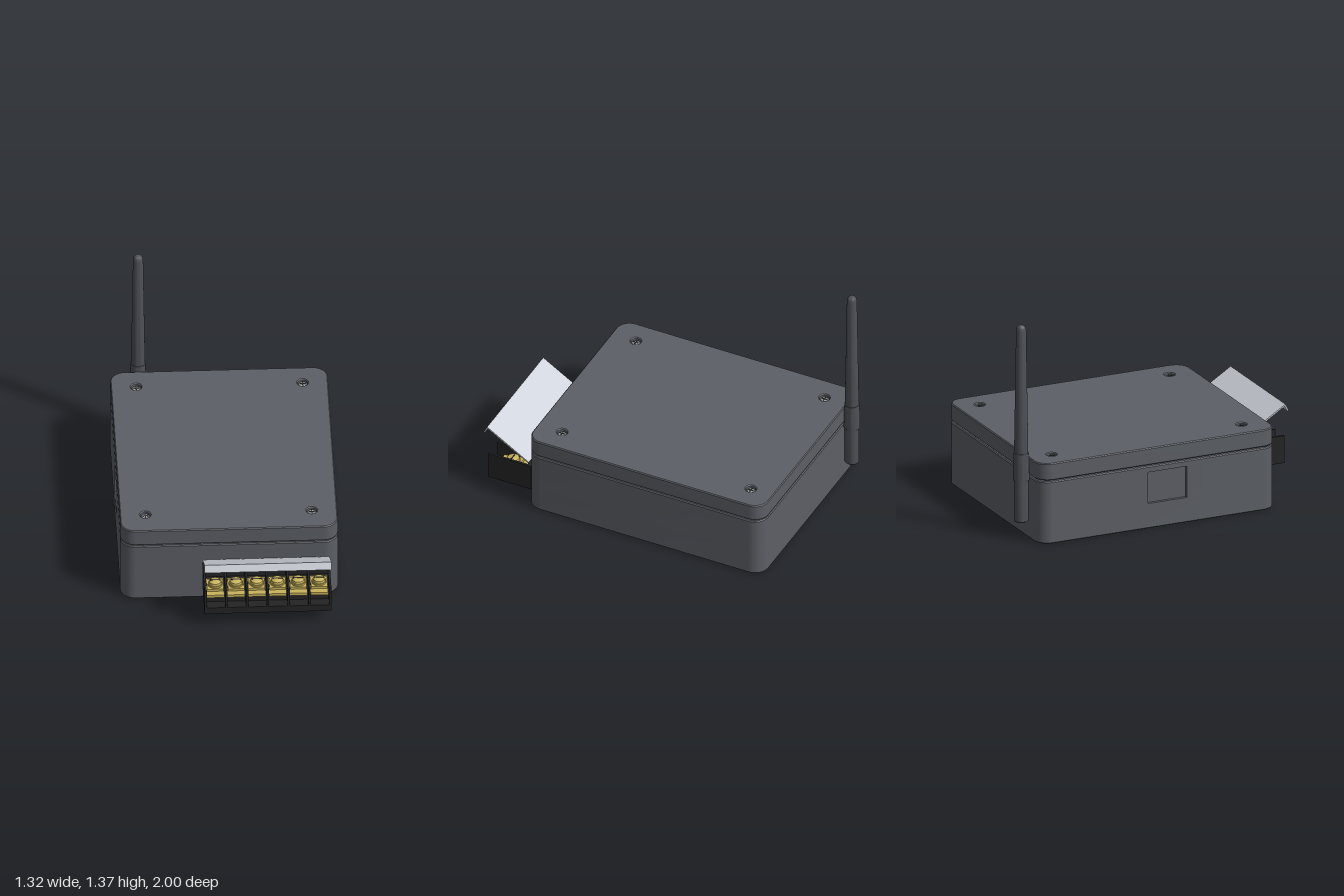
import * as THREE from 'three';
import { toCreasedNormals } from 'three/addons/utils/BufferGeometryUtils.js';

const material = (name, color) => new THREE.MeshStandardMaterial({ name, color });
const mats = {
  casing: material('casing grey', 0x5c5f66),
  antenna: material('antenna grey', 0x4e5056),
  black: material('terminal black', 0x242424),
  brass: material('brass', 0xc9b45c),
  sheet: material('cover metal', 0xced2da),
  steel: material('screw steel', 0xa4a7a9),
  slot: material('slot dark', 0x3a3a38),
};

const HALF_W = 0.66, HALF_D = 0.795, CENTRE = 0.11, RADIUS = 0.09;

function add(parent, name, geometry, mat, x = 0, y = 0, z = 0) {
  const mesh = new THREE.Mesh(geometry, mat);
  mesh.name = name;
  mesh.position.set(x, y, z);
  parent.add(mesh);
  return mesh;
}

// Box given by its limits on each axis
function block(parent, name, mat, x0, x1, y0, y1, z0, z1) {
  return add(parent, name, new THREE.BoxGeometry(x1 - x0, y1 - y0, z1 - z0), mat,
    (x0 + x1) / 2, (y0 + y1) / 2, (z0 + z1) / 2);
}

// Rounded plan outline (second axis is -z), optionally with the side pocket cut in
function outline(inset = 0, pocket = false) {
  const r = RADIUS - inset, x = HALF_W - RADIUS, d = HALF_D - RADIUS, q = Math.PI / 2;
  const s = new THREE.Shape();
  s.absarc(x, CENTRE - d, r, -q, 0);
  s.absarc(x, CENTRE + d, r, 0, q);
  s.absarc(-x, CENTRE + d, r, q, 2 * q);
  if (pocket) {
    s.lineTo(-HALF_W, 0.18);
    s.lineTo(-HALF_W + 0.02, 0.18);
    s.lineTo(-HALF_W + 0.02, -0.08);
    s.lineTo(-HALF_W, -0.08);
  }
  s.absarc(-x, CENTRE - d, r, 2 * q, 3 * q);
  return s;
}

// Closed solid through outlines given as [inset, height]
function loft(rings, pocket = false) {
  const loops = rings.map(([inset, h]) =>
    outline(inset, pocket).getPoints(10).map(p => [p.x, p.y, h]));
  const pos = [], n = loops[0].length;
  for (let k = 0; k + 1 < loops.length; k++) {
    for (let i = 0; i < n; i++) {
      const j = (i + 1) % n;
      const a = loops[k][i], b = loops[k][j], c = loops[k + 1][j], d = loops[k + 1][i];
      pos.push(...a, ...b, ...c, ...a, ...c, ...d);
    }
  }
  const top = loops[loops.length - 1], bottom = loops[0];
  const flat = bottom.map(p => new THREE.Vector2(p[0], p[1]));
  for (const [a, b, c] of THREE.ShapeUtils.triangulateShape(flat, [])) {
    pos.push(...top[a], ...top[b], ...top[c], ...bottom[a], ...bottom[c], ...bottom[b]);
  }
  const g = new THREE.BufferGeometry();
  g.setAttribute('position', new THREE.Float32BufferAttribute(pos, 3));
  g.rotateX(-Math.PI / 2);
  return toCreasedNormals(g, 0.6);
}

function lathe(points, segments = 32) {
  const g = new THREE.LatheGeometry(points.map(p => new THREE.Vector2(...p)), segments);
  return toCreasedNormals(g, 0.6);
}

function createCase() {
  const group = new THREE.Group();
  group.name = 'case';
  add(group, 'caseBottom', loft([[0.006, 0], [0, 0.006], [0, 0.16]]), mats.casing);
  add(group, 'caseMiddleWithPocket', loft([[0, 0.16], [0, 0.36]], true), mats.casing);
  add(group, 'caseTop', loft([[0, 0.36], [0, 0.392], [0.006, 0.398]]), mats.casing);

  // Lid with four countersunk screw holes
  const shape = outline();
  const spots = [-0.505, 0.505].flatMap(x => [-0.755, 0.52].map(z => [x, z]));
  for (const [x, z] of spots) {
    const hole = new THREE.Path();
    hole.absarc(x, -z, 0.031, 0, Math.PI * 2, true);
    shape.holes.push(hole);
  }
  const bevel = 0.006;
  const lid = new THREE.ExtrudeGeometry(shape, {
    depth: 0.109 - 2 * bevel, curveSegments: 10, bevelThickness: bevel,
    bevelSize: bevel, bevelOffset: -bevel, bevelSegments: 1,
  });
  lid.rotateX(-Math.PI / 2);
  add(group, 'lid', toCreasedNormals(lid, 0.6), mats.casing, 0, 0.406 + bevel, 0);

  for (const [x, z] of spots) {
    const screw = new THREE.Group();
    screw.name = 'lidScrew';
    screw.position.set(x, 0.41, z);
    add(screw, 'screwHead', lathe([[0, 0], [0.029, 0], [0.029, 0.084], [0.022, 0.092], [0, 0.095]], 20), mats.steel);
    add(screw, 'crossSlotA', new THREE.BoxGeometry(0.034, 0.004, 0.006), mats.slot, 0, 0.095, 0);
    add(screw, 'crossSlotB', new THREE.BoxGeometry(0.006, 0.004, 0.034), mats.slot, 0, 0.095, 0);
    group.add(screw);
  }
  return group;
}

function createAntenna() {
  const group = new THREE.Group();
  group.name = 'antenna';
  group.position.set(-0.485, 0, -0.95);
  add(group, 'antennaBase', lathe([[0, 0.11], [0.04, 0.11], [0.044, 0.115], [0.044, 0.38], [0, 0.38]]), mats.antenna);
  add(group, 'antennaJoint', lathe([[0, 0.375], [0.05, 0.375], [0.05, 0.4], [0.046, 0.55], [0, 0.55]]), mats.antenna);
  const whip = [[0.043, 0.55], [0.031, 1.335]];
  for (let i = 0; i <= 5; i++) {
    const a = i / 5 * Math.PI / 2;
    whip.push([0.03 * Math.cos(a), 1.34 + 0.03 * Math.sin(a)]);
  }
  add(group, 'antennaWhip', lathe(whip), mats.antenna);
  return group;
}

function createTerminalBlock() {
  const group = new THREE.Group();
  group.name = 'terminalBlock';
  const x0 = -0.165, x1 = 0.605, count = 6, wall = 0.014;
  const pitch = (x1 - x0 - wall) / count;
  block(group, 'terminalFloor', mats.black, x0, x1, 0.09, 0.135, 0.68, 0.972);
  block(group, 'terminalBack', mats.black, x0, x1, 0.135, 0.265, 0.68, 0.71);
  block(group, 'terminalStep', mats.black, x0, x1, 0.135, 0.172, 0.71, 0.91);
  for (let i = 0; i <= count; i++) {
    const x = x0 + i * pitch;
    block(group, 'divider', mats.black, x, x + wall, 0.13, 0.265, 0.7, 0.972);
  }
  // Clamp plates and screw in every cell
  for (let i = 0; i < count; i++) {
    const cell = new THREE.Group();
    cell.name = 'terminal';
    cell.position.set(x0 + wall / 2 + (i + 0.5) * pitch, 0, 0.835);
    block(cell, 'contactPlate', mats.brass, -0.053, 0.053, 0.172, 0.191, -0.085, 0.085);
    block(cell, 'clampPlate', mats.brass, -0.05, 0.05, 0.194, 0.21, -0.05, 0.05);
    add(cell, 'screwWasher', lathe([[0, 0.19], [0.044, 0.19], [0.044, 0.221], [0, 0.221]], 24), mats.brass);
    add(cell, 'screwHead', lathe([[0, 0.22], [0.038, 0.22], [0.036, 0.236], [0.026, 0.243], [0, 0.245]], 24), mats.brass);
    block(cell, 'screwSlot', mats.slot, -0.03, 0.03, 0.24, 0.246, -0.004, 0.004);
    group.add(cell);
  }
  return group;
}

function createCover() {
  // Bent sheet profile in (z, y), extruded across the terminals
  const s = new THREE.Shape([
    [0.70, 0.283], [0.974, 0.453], [0.992, 0.418], [1.0, 0.423], [0.978, 0.466], [0.696, 0.292],
  ].map(p => new THREE.Vector2(...p)));
  const g = new THREE.ExtrudeGeometry(s, { depth: 0.77, bevelEnabled: false });
  g.rotateY(-Math.PI / 2);
  return g;
}

export function createModel() {
  const model = new THREE.Group();
  model.name = 'wirelessControlBox';
  model.add(createCase(), createAntenna(), createTerminalBlock());
  add(model, 'terminalCover', createCover(), mats.sheet, 0.605, 0, 0);
  return model;
}
